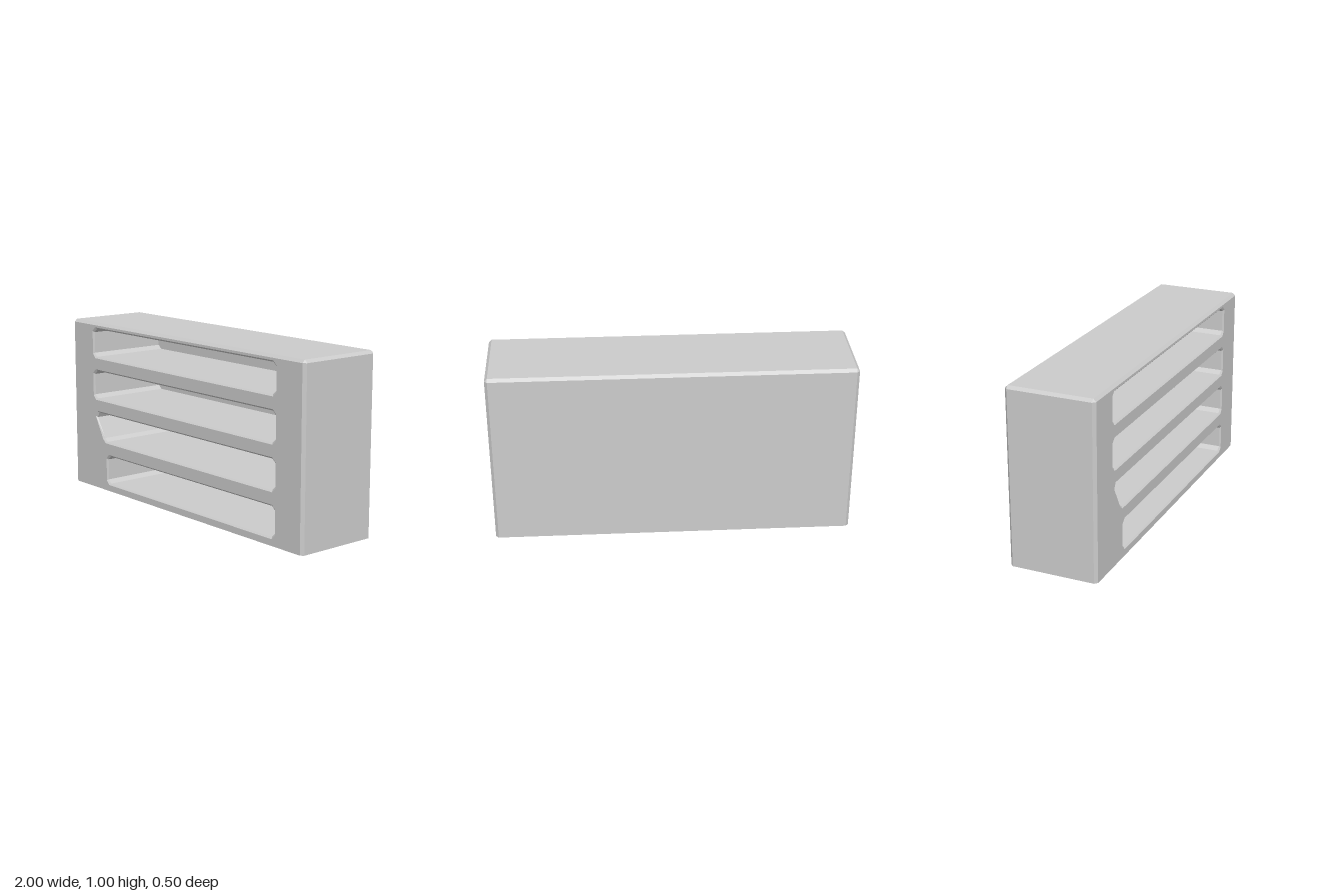
import * as THREE from 'three';

const HALF_DEPTH = 0.25, CHAMFER = 0.016, RIM = 0.009, POCKET_BACK = -0.235;

const material = new THREE.MeshStandardMaterial({
  color: 0xcccccc, flatShading: true, side: THREE.DoubleSide,
});

// Join equal-length rings of points with quads and close the last ring.
function loft(rings, skip = () => false) {
  const pos = [];
  const tri = (a, b, c) => {
    const area = b.clone().sub(a).cross(c.clone().sub(a)).length();
    if (area > 1e-9) for (const p of [a, b, c]) pos.push(p.x, p.y, p.z);
  };
  for (let j = 0; j < rings.length - 1; j++) {
    const a = rings[j], b = rings[j + 1], n = a.length;
    for (let i = 0; i < n; i++) {
      if (skip(j, i)) continue;
      const k = (i + 1) % n;
      tri(a[i], a[k], b[k]);
      tri(a[i], b[k], b[i]);
    }
  }
  const cap = rings[rings.length - 1];
  for (let i = 1; i < cap.length - 1; i++) tri(cap[0], cap[i], cap[i + 1]);
  const geo = new THREE.BufferGeometry();
  geo.setAttribute('position', new THREE.Float32BufferAttribute(pos, 3));
  geo.computeVertexNormals();
  return geo;
}

// Horizontal eight-point ring: half sizes x and z, corner cut c.
function octagon(x, z, c, y) {
  return [
    [-x + c, z], [x - c, z], [x, z - c], [x, -z + c],
    [x - c, -z], [-x + c, -z], [-x, -z + c], [-x, z - c],
  ].map(([px, pz]) => new THREE.Vector3(px, y, pz));
}

// Slot outline with cut corners, counter-clockwise from the front.
function slotOutline(left, bottom) {
  const r = 0.798, t = bottom + 0.184, c = 0.024;
  return [
    [left + c, bottom], [r - c, bottom], [r, bottom + c], [r, t - c],
    [r - c, t], [left + c, t], [left, t - c], [left, bottom + c],
  ].map(([x, y]) => new THREE.Vector2(x, y));
}

// Shrink an outline by d on each side and place it at depth z.
function inset(points, d, z) {
  const box = new THREE.Box2().setFromPoints(points);
  const mid = box.getCenter(new THREE.Vector2()), size = box.getSize(new THREE.Vector2());
  return points.map((p) => new THREE.Vector3(
    mid.x + (p.x - mid.x) * (1 - 2 * d / size.x),
    mid.y + (p.y - mid.y) * (1 - 2 * d / size.y), z));
}

export function createModel() {
  const group = new THREE.Group();
  const add = (name, geo) => {
    const mesh = new THREE.Mesh(geo, material);
    mesh.name = name;
    group.add(mesh);
  };

  // Four stacked slots; the third has a slanted right end.
  const slots = [
    slotOutline(-0.68, 0.037), slotOutline(-0.782, 0.287),
    slotOutline(-0.8, 0.537), slotOutline(-0.8, 0.787),
  ];
  const slanted = slots[1];
  slanted[0].x = -0.685;
  slanted[7].set(-0.71, 0.308);
  slanted[6].set(-0.782, 0.437);
  slanted[5].x = -0.766;

  // Outer shell, open underneath, with chamfered upright and top edges.
  add('shell', loft([
    octagon(1, HALF_DEPTH, CHAMFER, 0),
    octagon(1, HALF_DEPTH, CHAMFER, 1 - CHAMFER),
    octagon(1 - CHAMFER, HALF_DEPTH - CHAMFER, 0, 1),
  ], (band, side) => band === 0 && side === 0));

  // Front panel pierced by the slots.
  const x = 1 - CHAMFER, top = 1 - CHAMFER;
  const panel = new THREE.Shape([[-x, 0], [x, 0], [x, top], [-x, top]]
    .map(([px, py]) => new THREE.Vector2(px, py)));
  panel.holes = slots.map((s) => new THREE.Path(s.slice().reverse()));
  add('frontPanel', new THREE.ShapeGeometry(panel).translate(0, 0, HALF_DEPTH));

  // Deep pockets with a bevelled rim behind each slot.
  slots.forEach((s, i) => add(`pocket${i + 1}`, loft([
    inset(s, 0, HALF_DEPTH),
    inset(s, RIM, HALF_DEPTH - RIM),
    inset(s, RIM, POCKET_BACK),
  ])));

  return group;
}
